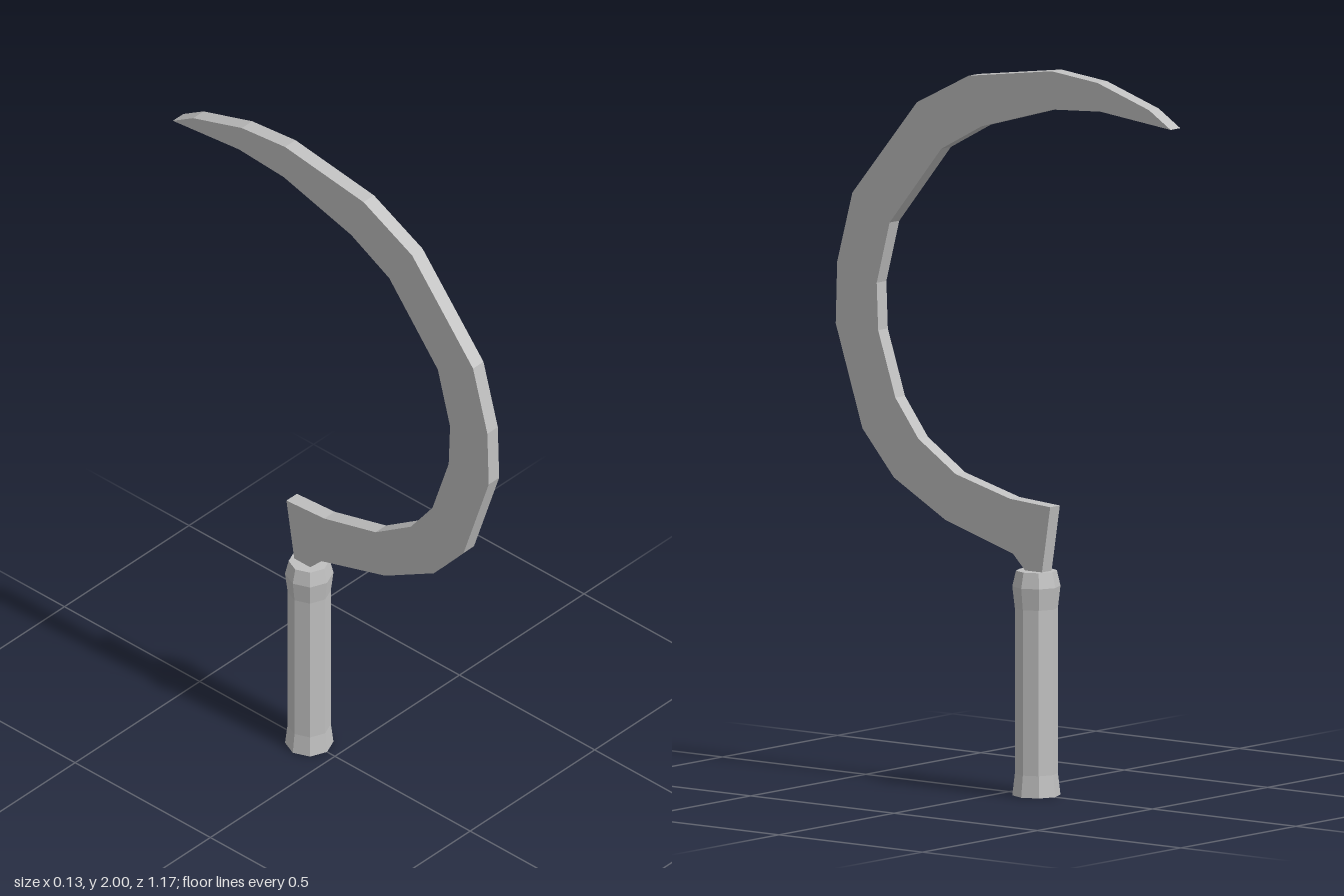
import * as THREE from 'three';

export function createModel() {
  const model = new THREE.Group();
  model.name = 'sickle';
  const grey = new THREE.MeshStandardMaterial({ color: 0xc0c0c0, flatShading: true });
  grey.name = 'grey';

  // Curved blade: inner edge from heel to tip, then outer edge back to the tang, as [z, y]
  const inner = [
    [-0.13, 0.61], [-0.16, 0.80], [-0.02, 0.81], [0.17, 0.86], [0.30, 0.945], [0.38, 1.05],
    [0.44, 1.23], [0.445, 1.36], [0.40, 1.53], [0.22, 1.75], [0.08, 1.825], [-0.17, 1.895],
    [-0.335, 1.905], [-0.58, 1.878],
  ];
  const outer = [
    [-0.505, 1.925], [-0.325, 1.983], [-0.165, 2.0], [0.125, 1.96], [0.305, 1.87], [0.53, 1.60],
    [0.583, 1.405], [0.588, 1.235], [0.495, 0.955], [0.385, 0.83], [0.205, 0.73],
    [-0.03, 0.66], [-0.08, 0.61],
  ];
  const outline = new THREE.Shape([...inner, ...outer].map(([z, y]) => new THREE.Vector2(z, y)));
  const thickness = 0.042;
  const bladeGeometry = new THREE.ExtrudeGeometry(outline, { depth: thickness, bevelEnabled: false });
  bladeGeometry.translate(0, 0, -thickness / 2).rotateY(-Math.PI / 2);
  const blade = new THREE.Mesh(bladeGeometry, grey);
  blade.name = 'blade';
  model.add(blade);

  // Eight-sided handle with a flared foot and a collar at the top
  const profile = [
    [0, 0], [0.066, 0], [0.059, 0.06], [0.059, 0.515], [0.066, 0.575], [0.056, 0.618], [0, 0.618],
  ].map(([r, y]) => new THREE.Vector2(r, y));
  const handle = new THREE.Mesh(new THREE.LatheGeometry(profile, 8), grey);
  handle.name = 'handle';
  handle.position.z = -0.095;
  model.add(handle);

  return model;
}
